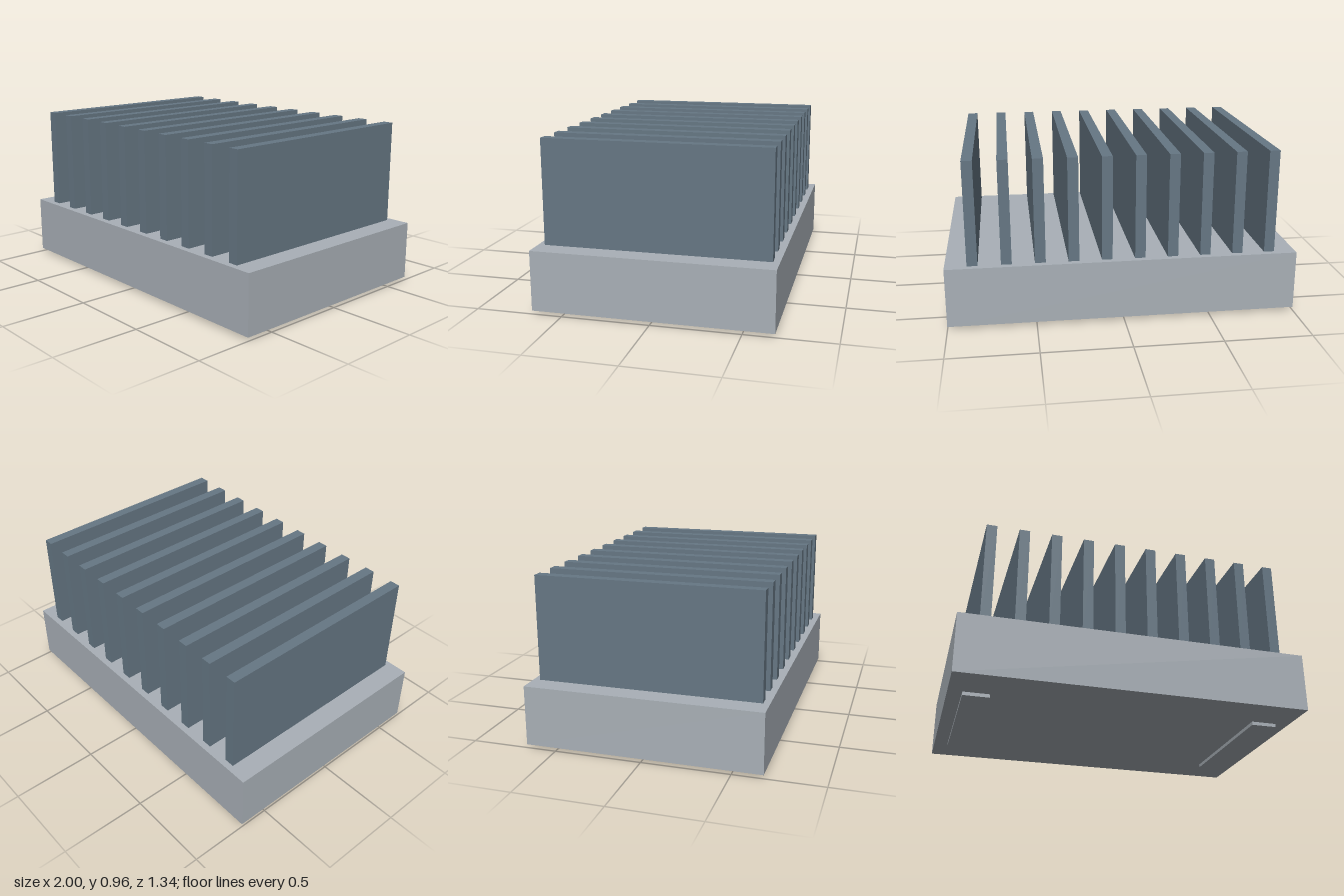
import * as THREE from 'three';

export function createModel() {
  const model = new THREE.Group();
  model.name = 'heatSink';

  const paleMetal = new THREE.MeshStandardMaterial({ color: 0xa9b0b7 });
  paleMetal.name = 'pale metal';
  const slateMetal = new THREE.MeshStandardMaterial({ color: 0x667784 });
  slateMetal.name = 'slate metal';

  // Box placed by its centre in x and its bottom and top in y
  const addBox = (name, material, x, width, bottom, top, depth) => {
    const mesh = new THREE.Mesh(new THREE.BoxGeometry(width, top - bottom, depth), material);
    mesh.name = name;
    mesh.position.set(x, (bottom + top) / 2, 0);
    model.add(mesh);
  };

  // Solid base block
  addBox('base', paleMetal, 0, 2, 0.02, 0.363, 1.344);

  // Mounting rails under the base
  for (const side of [-1, 1]) {
    addBox(side > 0 ? 'leftRail' : 'rightRail', paleMetal, side * 0.845, 0.15, 0, 0.02, 0.846);
  }

  // Row of evenly spaced cooling fins
  const finCount = 10;
  const spacing = 0.1882;
  for (let i = 0; i < finCount; i++) {
    addBox(`fin${i + 1}`, slateMetal, (i - (finCount - 1) / 2) * spacing, 0.06, 0.363, 0.962, 1.27);
  }

  return model;
}
